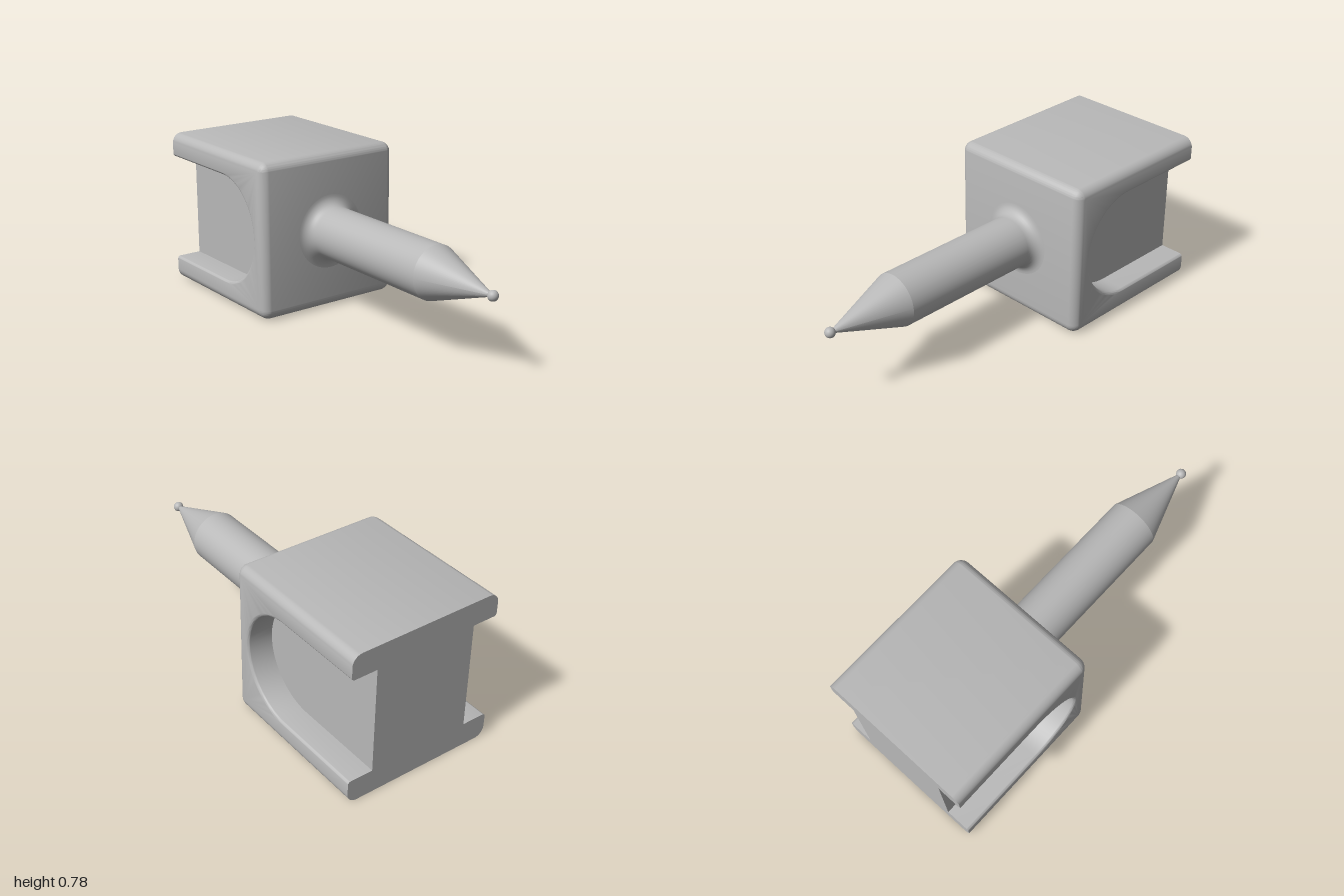
import * as THREE from 'three';
import { toCreasedNormals } from 'three/addons/utils/BufferGeometryUtils.js';

const MID = 0.39, BACK = -1, ARC = 16, STEPS = 8;

// U-shaped outline in the side plane, open at the back: [z, y] pairs
function uPath(half, front, r) {
  const pts = [[BACK, MID - half]];
  for (const side of [-1, 1]) {
    for (let k = 0; k <= ARC; k++) {
      const a = (Math.PI / 2) * (side < 0 ? k / ARC - 1 : k / ARC);
      pts.push([front - r + r * Math.cos(a), MID + side * (half - r) + r * Math.sin(a)]);
    }
  }
  pts.push([BACK, MID + half]);
  return pts;
}

// Outlines for the +x half, from the pocket floor out to the outer skin
function halfSections() {
  const rows = [];
  const pocket = (x, e) => rows.push({ x, half: 0.27 + e, front: -0.26 + e, r: 0.27 + e });
  const outer = (x, d) => rows.push({ x, half: 0.39 - d, front: -0.17 - d, r: 0.05 - d });
  rows.push({ x: 0.26, half: 0, front: -0.53, r: 0 });
  pocket(0.26, 0);
  const f = 0.015, R = 0.05;
  for (let k = 0; k <= STEPS; k++) { // soft pocket rim
    const a = (k / STEPS) * Math.PI / 2;
    pocket(0.39 - f + f * Math.sin(a), f - f * Math.cos(a));
  }
  for (let k = 0; k <= STEPS; k++) { // rounded outer edge
    const a = (k / STEPS) * Math.PI / 2;
    outer(0.39 - R + R * Math.cos(a), R - R * Math.sin(a));
  }
  return rows;
}

function blockSkin(rows) {
  const pos = [], idx = [];
  const n = 2 * (ARC + 1) + 2;
  for (const s of rows) {
    for (const [z, y] of uPath(s.half, s.front, s.r)) pos.push(s.x, y, z);
  }
  for (let i = 0; i < rows.length - 1; i++) {
    for (let j = 0; j < n - 1; j++) {
      const a = i * n + j, b = a + n;
      idx.push(a, a + 1, b, b, a + 1, b + 1);
    }
  }
  const g = new THREE.BufferGeometry();
  g.setAttribute('position', new THREE.Float32BufferAttribute(pos, 3));
  g.setIndex(idx);
  return toCreasedNormals(g, 0.4);
}

// Flat I-shaped end closing the block at the back
function backEnd(rows) {
  const open = rows.filter((s) => s.half > 0);
  const upper = open.map((s) => new THREE.Vector2(s.x, MID + s.half));
  const lower = open.map((s) => new THREE.Vector2(s.x, MID - s.half)).reverse();
  const g = new THREE.ShapeGeometry(new THREE.Shape([...upper, ...lower]));
  return g.rotateY(Math.PI).translate(0, 0, BACK);
}

// Shaft with a filleted root and a tapered point, turned around z
function stylusShaft() {
  const R = 0.13, f = 0.055, z0 = -0.17;
  const pts = [];
  for (let k = 0; k <= STEPS; k++) {
    const a = (k / STEPS) * Math.PI / 2;
    pts.push(new THREE.Vector2(R + f - f * Math.sin(a), z0 + f - f * Math.cos(a)));
  }
  pts.push(new THREE.Vector2(R, 0.61), new THREE.Vector2(0.006, 0.97));
  const g = new THREE.LatheGeometry(pts, 64).rotateX(Math.PI / 2).translate(0, MID, 0);
  return toCreasedNormals(g, 0.3);
}

export function createModel() {
  const group = new THREE.Group();
  const grey = new THREE.MeshStandardMaterial({ color: 0xb8b8b8 });
  grey.name = 'grey';
  const add = (name, geometry) => {
    const mesh = new THREE.Mesh(geometry, grey);
    mesh.name = name;
    group.add(mesh);
    return mesh;
  };

  const half = halfSections();
  const rows = [...half, ...half.map((s) => ({ ...s, x: -s.x })).reverse()];
  add('holderBlock', blockSkin(rows));
  add('holderBackEnd', backEnd(rows));
  add('shaft', stylusShaft());
  add('ballTip', new THREE.SphereGeometry(0.025, 24, 16)).position.set(0, MID, 0.975);

  return group;
}
